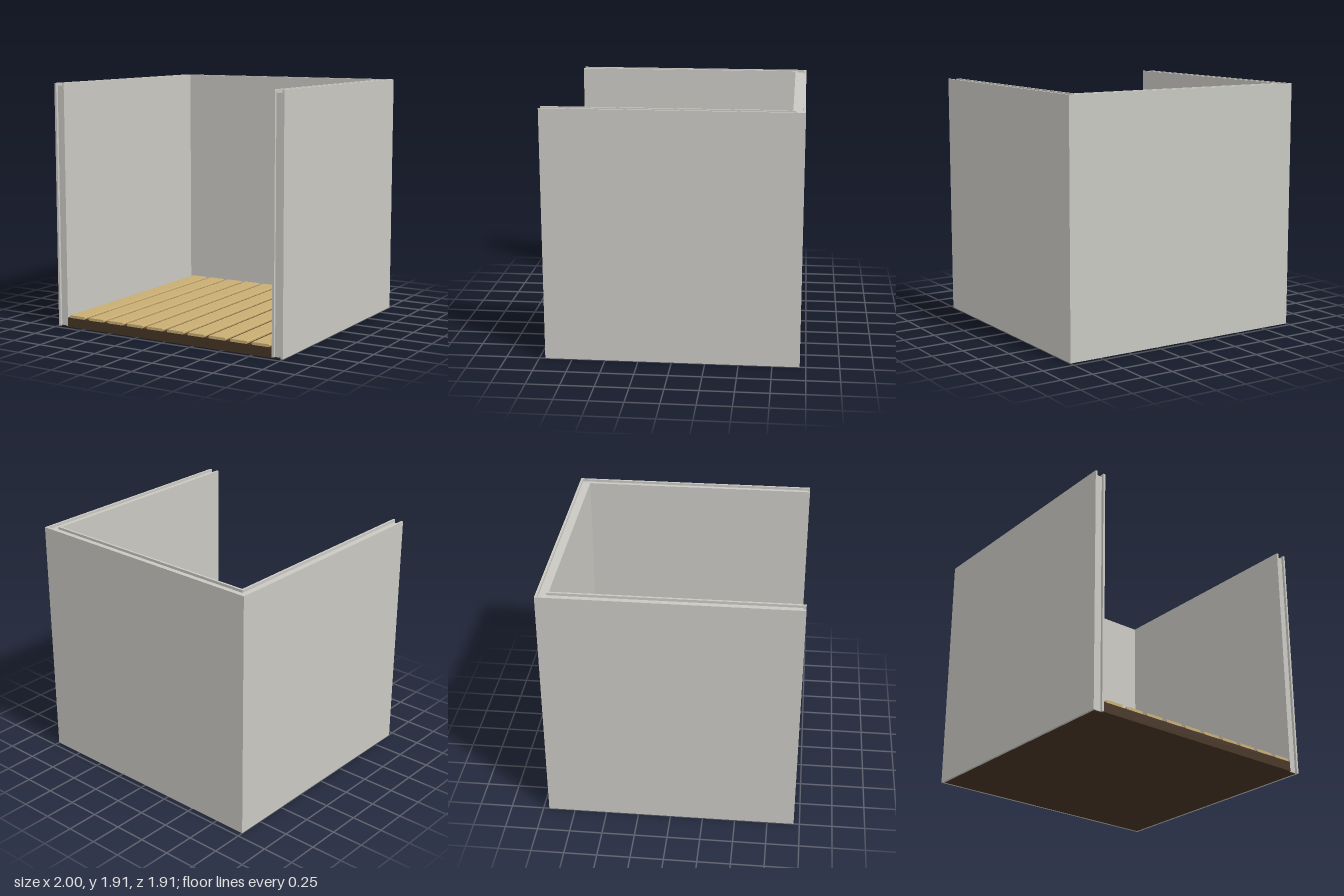
import * as THREE from 'three';

const H = 1.91, X = 1, Z = 0.955;       // overall height and half extents
const SKIN = 0.017, WALL = 0.09, RECESS = 0.02;

export function createModel() {
  const model = new THREE.Group();
  model.name = 'openBooth';

  const grey = new THREE.MeshStandardMaterial({ color: 0xc9c8c2 });
  grey.name = 'panelGrey';
  const wood = new THREE.MeshStandardMaterial({ color: 0xc8ad72 });
  wood.name = 'plankWood';
  const brown = new THREE.MeshStandardMaterial({ color: 0x463424 });
  brown.name = 'darkBase';

  // box given by its minimum and maximum corners
  function box(name, mat, x0, x1, y0, y1, z0, z1) {
    const mesh = new THREE.Mesh(new THREE.BoxGeometry(x1 - x0, y1 - y0, z1 - z0), mat);
    mesh.position.set((x0 + x1) / 2, (y0 + y1) / 2, (z0 + z1) / 2);
    mesh.name = name;
    model.add(mesh);
  }

  // U-shaped wall layer between two insets from the outer faces
  function wallLayer(name, inset0, inset1, y0, y1, front) {
    const a = X - inset0, b = X - inset1, back0 = Z - inset0, back1 = Z - inset1;
    const s = new THREE.Shape();
    [[-a, -front], [-b, -front], [-b, back1], [b, back1], [b, -front], [a, -front], [a, back0], [-a, back0]]
      .forEach(([x, y], i) => (i ? s.lineTo(x, y) : s.moveTo(x, y)));
    const geo = new THREE.ExtrudeGeometry(s, { depth: y1 - y0, bevelEnabled: false });
    geo.rotateX(-Math.PI / 2);
    geo.translate(0, y0, 0);
    const mesh = new THREE.Mesh(geo, grey);
    mesh.name = name;
    model.add(mesh);
  }

  // sandwich walls: two skins with a recessed core
  wallLayer('outerSkin', 0, SKIN, 0, H, Z);
  wallLayer('wallCore', SKIN, WALL - SKIN, 0.005, H - RECESS, Z - RECESS);
  wallLayer('innerSkin', WALL - SKIN, WALL, 0.005, H, Z);

  // dark floor and its thin underside sheet below the walls
  const inX = X - WALL, inBack = -Z + WALL;
  box('floorBase', brown, -inX, inX, 0, 0.075, inBack, Z);
  box('undersideSheet', brown, -X + SKIN, X - SKIN, 0, 0.005, -Z + SKIN, Z - RECESS);

  // floor planks with eased edges
  const count = 10, pitch = (2 * inX) / count, w = 0.073, t = 0.021, c = 0.006;
  const profile = new THREE.Shape();
  [[-w + c, 0], [w - c, 0], [w, c], [w, t - c], [w - c, t], [-w + c, t], [-w, t - c], [-w, c]]
    .forEach(([x, y], i) => (i ? profile.lineTo(x, y) : profile.moveTo(x, y)));
  const plankGeo = new THREE.ExtrudeGeometry(profile, { depth: Z - inBack, bevelEnabled: false });
  for (let i = 0; i < count; i++) {
    const plank = new THREE.Mesh(plankGeo, wood);
    plank.name = 'floorPlank' + (i + 1);
    plank.position.set(-inX + (i + 0.5) * pitch, 0.075, inBack);
    model.add(plank);
  }

  return model;
}
